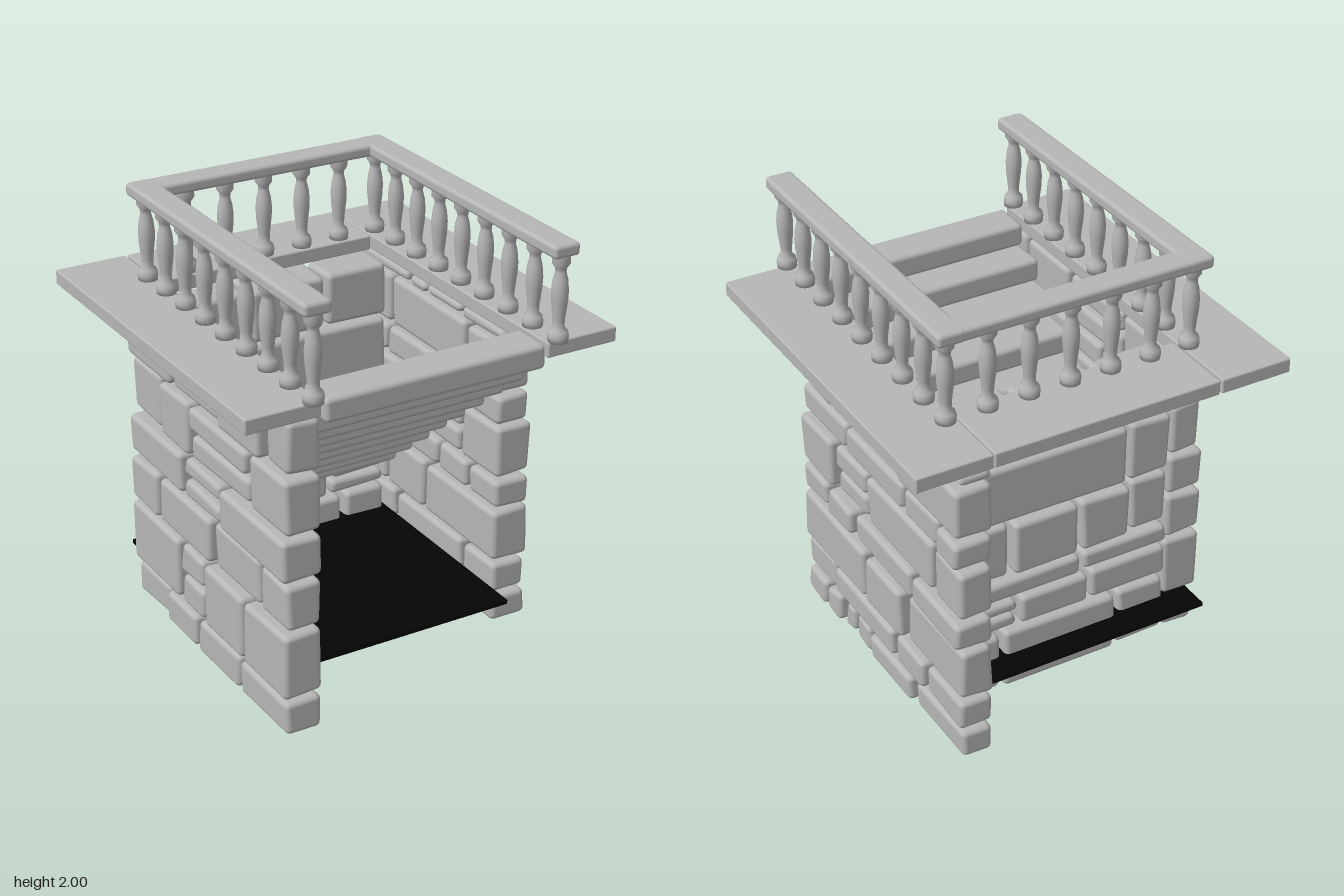
import * as THREE from 'three';
import { RoundedBoxGeometry } from 'three/addons/geometries/RoundedBoxGeometry.js';

const stoneMat = new THREE.MeshStandardMaterial({ color: 0xb6b6b6 });
stoneMat.name = 'grey stone';
const floorMat = new THREE.MeshStandardMaterial({ color: 0x050505 });
floorMat.name = 'black floor';

let seed = 7;
const rand = () => {
  seed = (seed * 16807) % 2147483647;
  return seed / 2147483647;
};

// Rounded block between two corners; wear shrinks its corners unevenly.
function block(name, [x0, x1], [y0, y1], [z0, z1], radius = 0.02, wear = 0) {
  const size = [x1 - x0, y1 - y0, z1 - z0];
  const r = Math.min(radius, Math.min(...size) * 0.4);
  const geo = new RoundedBoxGeometry(...size, 2, r);
  if (wear) {
    const corners = Array.from({ length: 8 }, () => [rand() * wear, rand() * wear, rand() * wear]);
    const p = geo.attributes.position;
    const v = new THREE.Vector3();
    for (let i = 0; i < p.count; i++) {
      v.fromBufferAttribute(p, i);
      const c = corners[(v.x > 0) + 2 * (v.y > 0) + 4 * (v.z > 0)];
      v.set(v.x - Math.sign(v.x) * c[0], v.y - Math.sign(v.y) * c[1], v.z - Math.sign(v.z) * c[2]);
      p.setXYZ(i, v.x, v.y, v.z);
    }
  }
  const mesh = new THREE.Mesh(geo, stoneMat);
  mesh.name = name;
  mesh.position.set((x0 + x1) / 2, (y0 + y1) / 2, (z0 + z1) / 2);
  return mesh;
}

// Wall from courses: [bottom, top, joints, optional index of a stone split in two].
function wall(name, courses, place) {
  const group = new THREE.Group();
  group.name = name;
  const gap = 0.007;
  for (const [y0, y1, joints, split] of courses) {
    for (let i = 0; i < joints.length - 1; i++) {
      const along = [joints[i] + gap, joints[i + 1] - gap];
      const mid = (y0 + y1) / 2;
      const levels = i === split ? [[y0, mid - gap], [mid + gap, y1]] : [[y0, y1]];
      for (const level of levels) group.add(place(along, level, rand() * 0.035));
    }
  }
  return group;
}

const rightCourses = [
  [0, 0.14, [-0.92, -0.47, -0.07, 0.09, 0.205, 0.35, 0.545]],
  [0.155, 0.305, [-0.92, -0.585, -0.32, 0.265, 0.545]],
  [0.32, 0.575, [-0.92, -0.405, -0.065, 0.545]],
  [0.59, 0.73, [-0.92, -0.49, 0.04, 0.295, 0.545]],
  [0.745, 0.995, [-0.92, -0.67, -0.065, 0.23, 0.545], 2],
  [1.01, 1.15, [-0.92, -0.72, -0.415, 0.12, 0.545]],
  [1.165, 1.41, [-0.92, -0.385, 0.245, 0.545], 2],
  [1.42, 1.48, [-0.92, -0.655, -0.235, -0.085, 0.205, 0.545]],
];
const leftCourses = [
  [0, 0.165, [-0.58, -0.25, 0.05, 0.45, 0.885]],
  [0.18, 0.49, [-0.58, -0.1, 0.13, 0.5, 0.885], 1],
  [0.505, 0.73, [-0.58, -0.3, 0.2, 0.62, 0.885]],
  [0.745, 0.945, [-0.58, -0.05, 0.3, 0.885], 1],
  [0.96, 1.22, [-0.58, -0.28, 0.02, 0.55, 0.885], 2],
  [1.235, 1.48, [-0.58, -0.15, 0.3, 0.68, 0.885], 1],
];
const backCourses = [
  [0, 0.14, [-0.56, -0.295, 0.305, 0.54]],
  [0.155, 0.31, [-0.56, -0.295, 0.305, 0.54]],
  [0.325, 0.485, [-0.56, -0.14, 0.225, 0.54], 2],
  [0.5, 0.6, [-0.56, -0.1, 0.54]],
  [0.615, 0.89, [-0.56, -0.35, -0.08, 0.26, 0.54]],
  [0.905, 1.2, [-0.56, -0.33, 0.54]],
  [1.215, 1.48, [-0.56, -0.2, 0.2, 0.54]],
];

export function createModel() {
  const model = new THREE.Group();
  model.name = 'stoneStairHouse';

  // Walls
  model.add(
    wall('rightWall', rightCourses, (z, y, bulge) => block('wallStone', [0.54, 0.7 + bulge], y, z, 0.025, 0.01)),
    wall('leftWall', leftCourses, (z, y, bulge) => block('wallStone', [-0.715 - bulge, -0.55], y, z, 0.025, 0.01)),
    wall('backWall', backCourses, (x, y, bulge) => block('wallStone', x, y, [-0.57 - bulge, -0.4 + bulge / 2], 0.025, 0.01)),
  );

  // Stairs going down from the front to the back wall
  const stairs = new THREE.Group();
  stairs.name = 'stairs';
  for (let i = 0; i < 9; i++) {
    const top = 1.548 - i * 0.1185;
    const back = 0.68 - i * 0.146;
    stairs.add(block('step', [-0.54, 0.54], [top - 0.116, top], [back, back + 0.2], 0.022, 0.004));
  }
  model.add(stairs);

  // Floor panel
  const floor = new THREE.Mesh(new THREE.BoxGeometry(1.22, 0.02, 1.37), floorMat);
  floor.name = 'floorPanel';
  floor.position.set(-0.07, 0.18, -0.025);
  model.add(floor);

  // Roof slabs around the stair opening
  model.add(
    block('leftSlab', [-0.91, -0.56], [1.48, 1.55], [-0.92, 0.88], 0.008),
    block('rightSlab', [0.545, 0.9], [1.48, 1.55], [-0.92, 0.88], 0.008),
    block('backSlab', [-0.55, 0.54], [1.48, 1.55], [-0.92, -0.555], 0.008),
  );

  // Balusters
  const profile = [
    [0, 1.545], [0.044, 1.548], [0.047, 1.575], [0.042, 1.598], [0.026, 1.615], [0.027, 1.65],
    [0.036, 1.73], [0.038, 1.78], [0.033, 1.83], [0.024, 1.865], [0.026, 1.885], [0.04, 1.905], [0.04, 1.945],
  ].map(([r, y]) => new THREE.Vector2(r, y));
  const balusterGeo = new THREE.LatheGeometry(profile, 16);
  const balusters = new THREE.Group();
  balusters.name = 'balusters';
  const addBaluster = (x, z) => {
    const mesh = new THREE.Mesh(balusterGeo, stoneMat);
    mesh.name = 'baluster';
    mesh.position.set(x, 0, z);
    balusters.add(mesh);
  };
  for (const x of [-0.595, 0.595]) {
    for (let i = 0; i < 9; i++) addBaluster(x, 0.873 - i * 0.1855);
  }
  for (let i = 1; i < 6; i++) addBaluster(-0.595 + i * 0.1985, -0.611);
  model.add(balusters);

  // Handrail, open at the front
  model.add(
    block('leftHandrail', [-0.66, -0.53], [1.94, 2], [-0.68, 0.92], 0.018),
    block('rightHandrail', [0.53, 0.66], [1.94, 2], [-0.68, 0.92], 0.018),
    block('backHandrail', [-0.6, 0.6], [1.941, 1.999], [-0.679, -0.55], 0.018),
  );
  return model;
}
